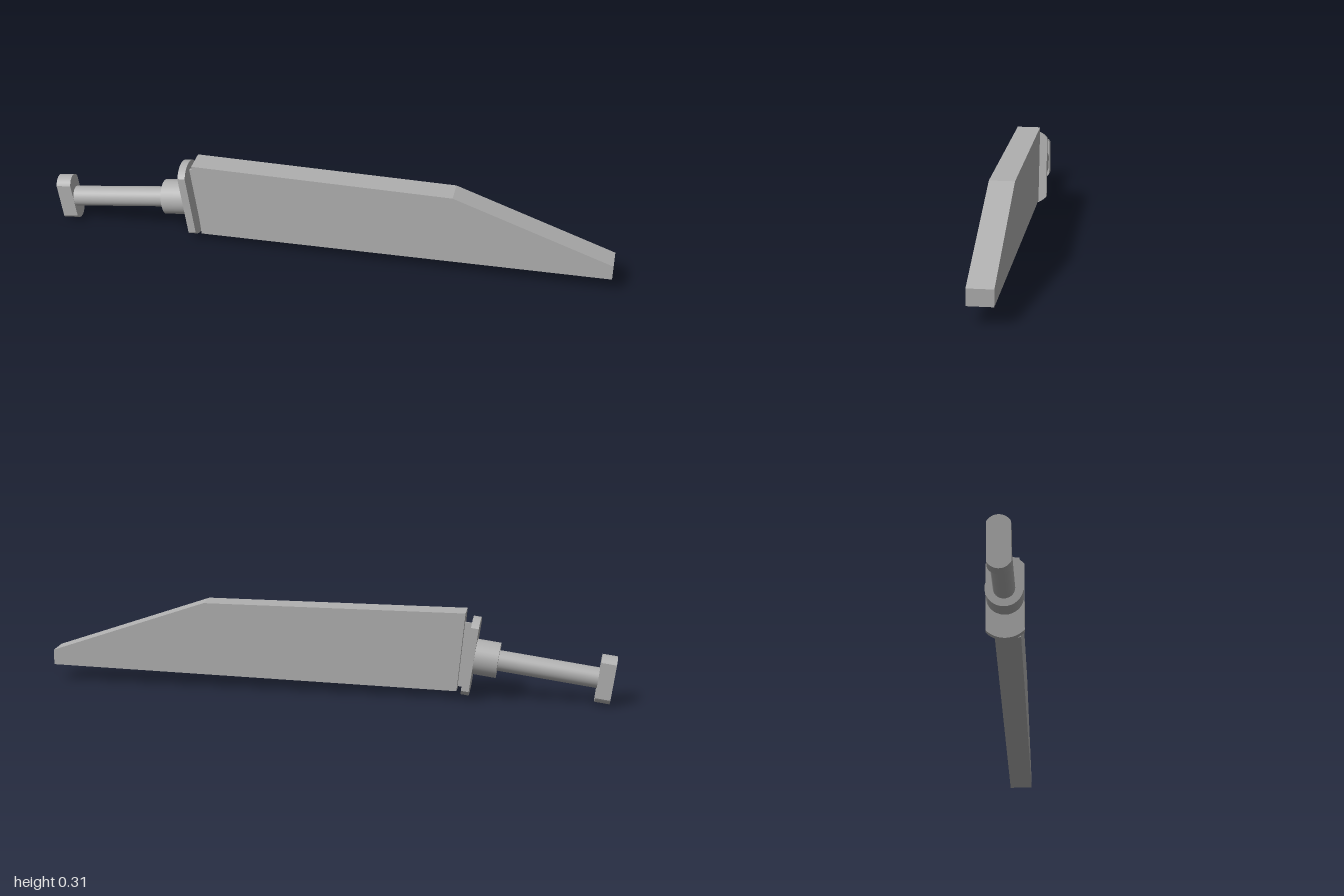
import * as THREE from 'three';

const steel = new THREE.MeshStandardMaterial({ color: 0xb0b0b0 });
steel.name = 'grey steel';

function add(parent, name, geometry) {
  const mesh = new THREE.Mesh(geometry, steel);
  mesh.name = name;
  parent.add(mesh);
  return mesh;
}

// Upright plate with straight sides and arched ends, centred on the handle axis (x)
function archedPlate(halfWidth, height, arch, thickness) {
  const r = (halfWidth ** 2 + arch ** 2) / (2 * arch);
  const a = Math.asin(Math.min(1, halfWidth / r));
  const cy = height / 2 - r;
  const shape = new THREE.Shape();
  shape.absarc(0, cy, r, Math.PI / 2 - a, Math.PI / 2 + a, false);
  shape.absarc(0, -cy, r, 1.5 * Math.PI - a, 1.5 * Math.PI + a, false);
  shape.closePath();
  return new THREE.ExtrudeGeometry(shape, { depth: thickness, bevelEnabled: false, curveSegments: 16 })
    .translate(0, 0, -thickness / 2).rotateY(Math.PI / 2);
}

// Round bar along x
function bar(radius, x0, x1) {
  return new THREE.CylinderGeometry(radius, radius, x1 - x0, 32)
    .rotateZ(-Math.PI / 2).translate((x0 + x1) / 2, 0, 0);
}

export function createModel() {
  const model = new THREE.Group();
  model.name = 'broadKnife';

  // Thick blade with a sloping tip, leaning very slightly backwards
  const outline = [[-0.455, 0.035], [1, 0.064], [1, 0.118], [0.44, 0.313], [-0.481, 0.313]];
  const shape = new THREE.Shape(outline.map(([x, y]) => new THREE.Vector2(x, y)));
  const blade = add(model, 'blade',
    new THREE.ExtrudeGeometry(shape, { depth: 0.085, bevelEnabled: false }).translate(0, 0, -0.0425));
  blade.rotation.x = -0.012;
  blade.position.z = 0.008;

  // Handle assembly, tilted down away from the blade
  const handle = new THREE.Group();
  handle.name = 'handle';
  handle.position.set(-0.501, 0.155, 0);
  handle.rotation.z = THREE.MathUtils.degToRad(7.6);
  model.add(handle);

  add(handle, 'guard', archedPlate(0.063, 0.28, 0.027, 0.027));
  add(handle, 'tang', new THREE.BoxGeometry(0.036, 0.23, 0.01).translate(0.026, 0, 0));
  add(handle, 'collar', bar(0.062, -0.095, -0.01));
  add(handle, 'grip', bar(0.036, -0.45, -0.09));
  add(handle, 'pommel', archedPlate(0.037, 0.17, 0.022, 0.053).translate(-0.466, 0, 0));

  return model;
}
